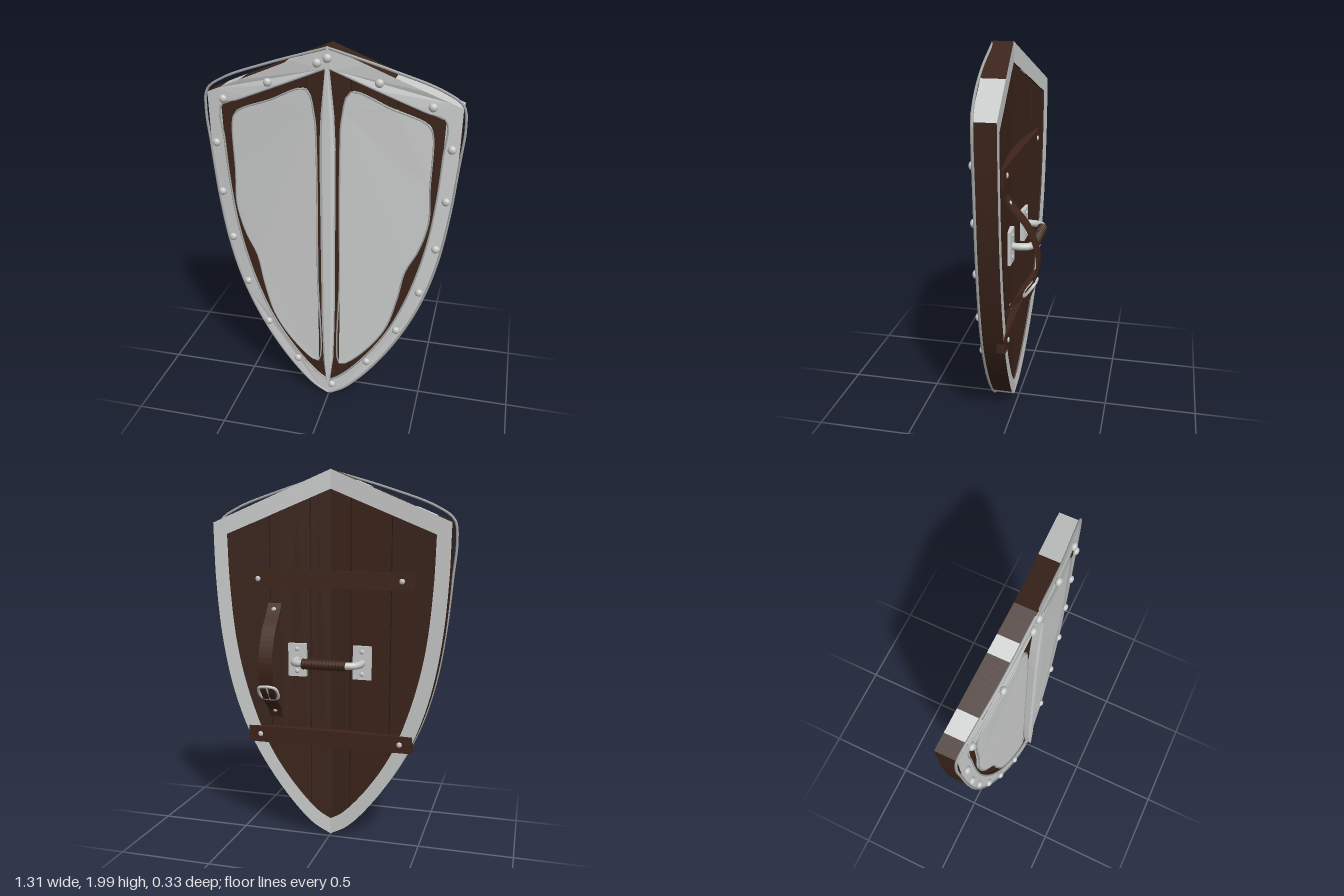
import * as THREE from 'three';

const mat = (name, color) => Object.assign(new THREE.MeshStandardMaterial({ color }), { name });
const V = (x, y, z) => new THREE.Vector3(x, y, z);
const SLOPE = 0.1; // each half of the shield leans back from the centre line
const bow = (x) => 0.012 * Math.sin(Math.PI * Math.min(1, Math.abs(x) / 0.68)); // slight swell of the steel front

export function createModel() {
  const root = new THREE.Group();
  root.name = 'shield';
  const steel = mat('steel', 0xcbcdcc);
  const wire = mat('cord steel', 0xa8abaa);
  const bright = mat('bright steel', 0xc6c8c6);
  const wood = mat('wood', 0x3b241b);
  const darkWood = mat('dark wood', 0x24150f);
  const leather = mat('leather', 0x3e251a);

  const add = (name, geo, m, x = 0, y = 0, z = 0, parent = root) => {
    const mesh = new THREE.Mesh(geo, m);
    mesh.name = name;
    mesh.position.set(x, y, z);
    parent.add(mesh);
    return mesh;
  };
  const both = (name, geo, m) => {
    add(name + 'Left', geo, m);
    add(name + 'Right', geo, m).scale.x = -1;
  };
  // Flat slab leaning with the shield; a front beyond 0.13 also swells
  const slab = (pts, z0, z1) => {
    const shape = new THREE.Shape(pts.map(([x, y]) => new THREE.Vector2(x, y)));
    const geo = new THREE.ExtrudeGeometry(shape, { depth: z1 - z0, bevelEnabled: false }).translate(0, 0, z0);
    const p = geo.attributes.position;
    for (let i = 0; i < p.count; i++) {
      const x = p.getX(i), z = p.getZ(i);
      p.setZ(i, z - SLOPE * x + (z > 0.13 ? bow(x) : 0));
    }
    geo.computeVertexNormals();
    return geo;
  };
  const smooth = (pts, n) => new THREE.CatmullRomCurve3(pts.map(([x, y]) => V(x, y, 0)), false, 'centripetal')
    .getPoints(n).map((p) => [Math.max(0, p.x), p.y]);
  const cord = (pts, z, r, closed = false) => {
    const path = new THREE.CatmullRomCurve3(pts.map(([x, y]) => V(x, y, z - SLOPE * x + bow(x))), closed, 'centripetal');
    return new THREE.TubeGeometry(path, 90, r, 6, closed);
  };

  // Half outlines: straight shoulder, then the curved edge down to the tip
  const outline = (apex, corner, curve) => {
    const top = [];
    for (let i = 0; i < 24; i++) {
      const t = i / 24;
      top.push([corner[0] * t, apex + (corner[1] - apex) * t]);
    }
    return [...top, ...smooth([corner, ...curve], 40)];
  };
  const outer = outline(2, [0.635, 1.73], [[0.627, 1.42], [0.597, 1.1], [0.535, 0.8], [0.43, 0.525], [0.26, 0.25], [0.1, 0.07], [0, 0.01]]);
  const inner = outline(1.9, [0.56, 1.67], [[0.55, 1.4], [0.517, 1.08], [0.452, 0.8], [0.342, 0.51], [0.205, 0.295], [0.07, 0.145], [0, 0.1]]);
  const middle = inner.map(([x, y], i) => [(x + outer[i][0]) / 2, (y + outer[i][1]) / 2]);

  // Rim, with wood showing along most of its outside wall
  for (const side of [1, -1]) {
    const geo = slab([...outer, ...inner.slice().reverse()], 0.027, 0.133);
    const walls = geo.groups[1], p = geo.attributes.position;
    geo.clearGroups();
    geo.addGroup(0, walls.start, 0);
    for (let i = walls.start; i < walls.start + walls.count; i += 6) {
      let x = 0, y = 0;
      for (let k = 0; k < 6; k++) { x += p.getX(i + k) / 6; y += p.getY(i + k) / 6; }
      const isShoulder = y > 1.73;
      const bare = y < 0.1 || (isShoulder && (side > 0 ? x > 0.32 : (x > 0.44 && x < 0.56) || (x > 0.12 && x < 0.22)));
      geo.addGroup(i, 6, bare ? 0 : 1);
    }
    add(side > 0 ? 'rimLeft' : 'rimRight', geo, [steel, wood]).scale.x = side;
  }

  // Wooden planks with dark grooves between them
  both('groove', slab(middle, 0.045, 0.11), darkWood);
  const yAt = (pts, x) => {
    for (let i = 1; i < pts.length; i++) {
      const [a, b] = [pts[i - 1], pts[i]];
      if ((a[0] - x) * (b[0] - x) <= 0 && a[0] !== b[0]) return a[1] + (b[1] - a[1]) * (x - a[0]) / (b[0] - a[0]);
    }
    return pts[0][1];
  };
  const shoulder = middle.slice(0, 25), edge = middle.slice(24);
  for (const [x0, x1] of [[0, 0.107], [0.113, 0.327], [0.333, 0.58]]) {
    const top = [], bottom = [];
    for (let i = 0; i <= 12; i++) {
      const x = x0 + (x1 - x0) * i / 12;
      top.push([x, yAt(shoulder, x)]);
      bottom.unshift([x, yAt(edge, x)]);
    }
    both('plank', slab([...top, ...bottom], 0.035, 0.125), wood);
  }

  // Steel front panels with raised borders
  const panel = [[0.06, 0.225], [0.06, 0.8], [0.06, 1.5], [0.068, 1.66], [0.11, 1.79], [0.3, 1.72], [0.48, 1.645],
    [0.502, 1.6], [0.503, 1.32], [0.507, 1.14], [0.465, 0.98], [0.402, 0.85], [0.367, 0.68], [0.31, 0.49], [0.205, 0.335], [0.09, 0.23]];
  both('frontPanel', slab(smooth([...panel, panel[0]], 90).slice(0, -1), 0.115, 0.133), steel);
  both('panelBorder', cord(panel, 0.131, 0.0045, true), wire);

  // Cords along the rim, the outer one sweeping wide around the corner
  both('innerCord', cord(inner.filter((_, i) => i % 4 === 0), 0.132, 0.005), wire);
  both('outerCord', cord([[0.006, 1.99], [0.3, 1.9], [0.54, 1.81], [0.635, 1.742], [0.65, 1.64], [0.634, 1.45],
    ...outer.slice(34, -1).filter((_, i) => i % 5 === 0), [0.006, 0.014]], 0.132, 0.007), wire);

  // Centre spine, a raised bar narrowing to points at both ends
  const pos = [], index = [];
  [[0.08, 0.003], [0.25, 0.024], [0.5, 0.032], [1.5, 0.037], [1.67, 0.03], [1.93, 0.004]].forEach(([y, w], r) => {
    pos.push(-w, y, 0.11, -w, y, 0.156, -w * 0.6, y, 0.165, w * 0.6, y, 0.165, w, y, 0.156, w, y, 0.11);
    if (r) for (let k = 0; k < 5; k++) {
      const a = (r - 1) * 6 + k, b = a + 6;
      index.push(a, a + 1, b, a + 1, b + 1, b);
    }
  });
  let spine = new THREE.BufferGeometry();
  spine.setAttribute('position', new THREE.Float32BufferAttribute(pos, 3));
  spine.setIndex(index);
  spine = spine.toNonIndexed();
  spine.computeVertexNormals();
  add('spine', spine, steel);

  // Rim rivets
  const ball = new THREE.SphereGeometry(0.021, 14, 10);
  for (const [x, y] of [[-0.05, 1.92], [-0.3, 1.81], [-0.545, 1.705], [-0.6, 1.47], [-0.585, 1.2], [-0.54, 0.94],
    [-0.465, 0.68], [-0.35, 0.44], [-0.18, 0.225], [0.02, 0.08], [0, 1.945], [0.245, 1.84], [0.495, 1.735],
    [0.595, 1.53], [0.585, 1.26], [0.55, 0.995], [0.48, 0.735], [0.37, 0.49], [0.215, 0.265]]) {
    add('rimRivet', ball, bright, x, y, 0.141 - SLOPE * Math.abs(x) + bow(x)).scale.z = 0.75;
  }
  const stud = (x, y, z, s = 0.7) => add('stud', ball, bright, x, y, z).scale.set(s, s, s * 0.5);

  // Back battens
  for (const y of [1.435, 0.575]) {
    add('batten', new THREE.BoxGeometry(0.914, 0.09, 0.045), leather, 0, y, -0.001);
    for (const x of [-0.39, 0.39]) stud(x, y, -0.024);
  }

  // Hand grip: mounts, bent bar and leather wrap
  for (const x of [-0.18, 0.18]) {
    add('handleMount', new THREE.BoxGeometry(0.1, 0.18, 0.03), steel, x, 1, 0.012);
    for (const dy of [-0.06, 0.06]) stud(x, 1 + dy, -0.004, 0.6);
  }
  const bar = new THREE.CatmullRomCurve3([V(-0.18, 1, 0.01), V(-0.18, 1, -0.05), V(-0.165, 1, -0.088), V(-0.125, 1, -0.105),
    V(0, 1, -0.105), V(0.125, 1, -0.105), V(0.165, 1, -0.088), V(0.18, 1, -0.05), V(0.18, 1, 0.01)], false, 'centripetal');
  add('handleBar', new THREE.TubeGeometry(bar, 60, 0.019, 12), bright);
  add('gripCore', new THREE.CylinderGeometry(0.026, 0.026, 0.236, 14).rotateZ(Math.PI / 2), leather, 0, 1, -0.105);
  const wrap = new THREE.TorusGeometry(0.0225, 0.0065, 8, 16).rotateY(Math.PI / 2);
  for (let i = 0; i < 13; i++) add('gripWrap', wrap, leather, -0.111 + i * 0.0185, 1, -0.105);

  // Arm strap, a leather band bowed away from the back
  const line = new THREE.SplineCurve([[0.005, 1.3], [-0.025, 1.25], [-0.105, 1.15], [-0.155, 1.0], [-0.13, 0.86],
    [-0.07, 0.78], [-0.02, 0.735], [0.005, 0.68]].map(([z, y]) => new THREE.Vector2(z, y)));
  const front = line.getPoints(40), back = [];
  front.forEach((p, i) => {
    const t = line.getTangent(i / 40);
    back.unshift(new THREE.Vector2(p.x + t.y * 0.011, p.y - t.x * 0.011));
  });
  const band = new THREE.ExtrudeGeometry(new THREE.Shape([...front, ...back]), { depth: 0.076, bevelEnabled: false });
  add('armStrap', band.rotateY(-Math.PI / 2).translate(0.341, 0, 0), leather);
  stud(0.303, 1.27, -0.02);
  stud(0.303, 0.72, -0.018);

  // Square buckle on the strap
  const buckle = new THREE.Group();
  buckle.name = 'buckle';
  buckle.position.set(0.303, 0.835, -0.121);
  buckle.rotation.x = -0.65;
  root.add(buckle);
  const frame = [[-0.05, -0.03], [-0.035, -0.045], [0.035, -0.045], [0.05, -0.03], [0.05, 0.03], [0.035, 0.045], [-0.035, 0.045], [-0.05, 0.03]];
  const loop = new THREE.CatmullRomCurve3(frame.map(([x, y]) => V(x, y, 0)), true, 'centripetal');
  add('buckleRing', new THREE.TubeGeometry(loop, 40, 0.008, 8, true), steel, 0, 0, 0, buckle);
  add('bucklePin', new THREE.CylinderGeometry(0.005, 0.005, 0.09, 8), steel, 0, 0, -0.004, buckle);
  return root;
}
